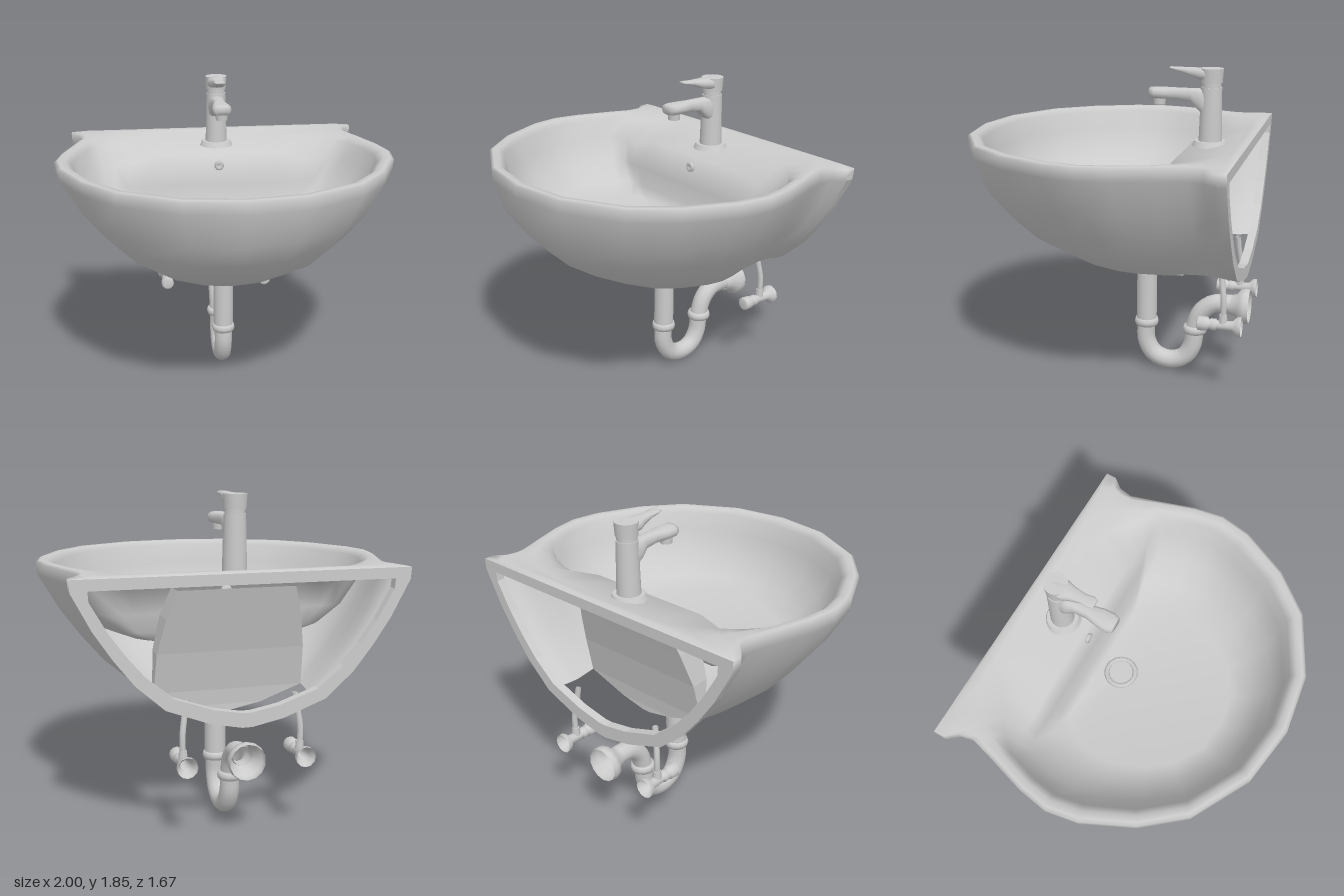
import * as THREE from 'three';

const grey = new THREE.MeshStandardMaterial({ color: 0xcccccc, side: THREE.DoubleSide });
const flat = new THREE.MeshStandardMaterial({ color: 0xcccccc, side: THREE.DoubleSide, flatShading: true });
const V = (x, y, z) => new THREE.Vector3(x, y, z);

// Skin a stack of closed rings of equal length; skip(row, column) leaves openings
function loft(rings, skip = () => false) {
  const n = rings[0].length, index = [];
  for (let i = 0; i < rings.length - 1; i++) {
    for (let j = 0; j < n; j++) {
      if (skip(i, j)) continue;
      const k = (j + 1) % n, a = i * n + j, b = i * n + k, c = b + n, d = a + n;
      index.push(a, b, c, a, c, d);
    }
  }
  const g = new THREE.BufferGeometry().setFromPoints(rings.flat());
  g.setIndex(index);
  g.computeVertexNormals();
  return g;
}

function add(parent, name, geometry, x = 0, y = 0, z = 0, material = grey) {
  const m = new THREE.Mesh(geometry, material);
  m.name = name;
  m.position.set(x, y, z);
  parent.add(m);
  return m;
}

const cyl = (rTop, rBottom, h, sides = 14) => new THREE.CylinderGeometry(rTop, rBottom, h, sides);
// Lathe whose axis points towards the front; profile pairs are [radius, z]
const latheZ = (profile, sides = 12) =>
  new THREE.LatheGeometry(profile.map(([r, z]) => new THREE.Vector2(r, z)), sides).rotateX(Math.PI / 2);
const pipe = (pts, r, steps, sides = 10) =>
  new THREE.TubeGeometry(new THREE.CatmullRomCurve3(pts.map(p => V(...p)), false, 'centripetal'), steps, r, sides);

// Half plans, front to back: outer edge of the rim, and inner edge around bowl and tap deck
const OUTER = [[0, .83], [.33, .78], [.66, .6], [.84, .38], [.97, .1], [1, -.08], [.97, -.25],
  [.9, -.47], [.855, -.62], [.87, -.7], [.92, -.76], [.92, -.82], [.45, -.82], [0, -.82]];
const INNER = [[0, .74], [.3, .7], [.59, .54], [.76, .33], [.87, .08], [.9, -.08], [.88, -.22],
  [.82, -.4], [.75, -.48], [.67, -.55], [.57, -.62], [.4, -.71], [.2, -.72], [0, -.73]];
const mirrored = half => [...half, ...half.slice(1, -1).reverse().map(([x, z]) => [-x, z])];

// Shell levels: height, width factor, front reach
const LEVELS = [[.645, .03, -.45], [.68, .22, -.05], [.77, .48, .24], [.91, .65, .5],
  [1.05, .77, .65], [1.2, .88, .77], [1.4, .995, .828], [1.465, 1, .83]];

function basinGeometry() {
  const outer = mirrored(OUTER), inner = mirrored(INNER);
  // outer shell, narrowing downwards
  const rings = LEVELS.map(([y, k, front]) => outer.map(([x, z]) =>
    V(x * k, y, z < -.47 ? z : -.47 + (z + .47) * (front + .47) / 1.3)));
  // rounded rim
  for (const [t, y] of [[.2, 1.476], [.6, 1.474], [1, 1.445]])
    rings.push(outer.map(([x, z], j) => V(x + (inner[j][0] - x) * t, y, z + (inner[j][1] - z) * t)));
  // front edge of the tap deck, higher in the middle than at the sides
  rings.push(inner.map(([x, z]) =>
    V(x * .97, z < -.45 && Math.abs(x) < .45 ? 1.385 : 1.335, Math.max(z * .97, -.43))));
  // bowl wall and shallow floor: height, x scale, z scale, rear limit
  for (const [y, sx, sz, back] of [[1.2, .87, .9, -.4], [1.09, .73, .77, -.375], [1.035, .58, .62, -.34]])
    rings.push(inner.map(([x, z]) => V(x * sx, y, Math.max(z * sz, back))));
  // drain opening
  rings.push(rings.at(-1).map(p => {
    const d = V(p.x, 0, p.z + .21).setLength(.08);
    return V(d.x, 1.02, d.z - .21);
  }));
  // open back, and a gap underneath for the plumbing
  return loft(rings, (i, j) => i < 7 &&
    ((j >= 11 && j <= 14) || (i < 2 && ((j >= 7 && j <= 9) || (j >= 16 && j <= 18)))));
}

// D-shaped flange against the wall
function wallFlangeGeometry() {
  const outline = (sx, yMap) => {
    const right = LEVELS.map(([y, k]) => new THREE.Vector2(.92 * k * sx, yMap(y)));
    return [...right, ...right.slice().reverse().map(p => new THREE.Vector2(-p.x, p.y))];
  };
  const shape = new THREE.Shape(outline(1, y => y));
  shape.holes.push(new THREE.Path(outline(.9, y => .725 + (y - .645) * .83)));
  return new THREE.ExtrudeGeometry(shape, { depth: .05, bevelEnabled: false });
}

// Panel closing the shell behind the bowl; rows are [half width, y, rear z, front z]
function backPanelGeometry() {
  const rows = [[.027, .645, -.47, -.46], [.195, .68, -.47, -.46], [.43, .77, -.48, -.45],
    [.42, 1, -.53, -.42], [.38, 1.2, -.59, -.43], [.33, 1.36, -.64, -.5]];
  return loft(rows.map(([w, y, zb, zf]) => [V(w, y, zf), V(w, y, zb), V(-w, y, zb), V(-w, y, zf)]),
    (i, j) => j === 3);
}

// Rounded bar along z; stations are [z, half width, bottom, top]
function bar(stations, sides = 12) {
  const sq = v => Math.sign(v) * Math.abs(v) ** .7;
  const ring = ([z, w, lo, hi], s = 1) => Array.from({ length: sides }, (_, j) => {
    const a = j / sides * Math.PI * 2;
    return V(sq(Math.cos(a)) * w * s, (lo + hi) / 2 + sq(Math.sin(a)) * (hi - lo) / 2 * s, z);
  });
  return loft([ring(stations[0], 0), ...stations.map(s => ring(s)), ring(stations.at(-1), 0)]);
}

export function createModel() {
  const model = new THREE.Group();
  model.name = 'washbasin';

  // Ceramic
  add(model, 'basin', basinGeometry());
  add(model, 'wallFlange', wallFlangeGeometry(), 0, 0, -.82, flat);
  add(model, 'backPanel', backPanelGeometry(), 0, 0, 0, flat);

  // Drain and overflow
  add(model, 'drainRing', new THREE.TorusGeometry(.085, .016, 6, 14).rotateX(Math.PI / 2), 0, 1.04, -.21);
  add(model, 'drainPlug', cyl(.07, .08, .03), 0, 1.03, -.21);
  add(model, 'overflow', latheZ([[0, -.02], [.03, -.02], [.03, .015], [.018, .02], [0, .01]], 10), 0, 1.32, -.42);

  // Tap
  const tap = new THREE.Group();
  tap.name = 'tap';
  model.add(tap);
  add(tap, 'tapBase', cyl(.09, .105, .03, 16), 0, 1.43, -.575);
  add(tap, 'tapBody', cyl(.06, .068, .33, 16), 0, 1.585, -.575);
  add(tap, 'tapNeck', cyl(.055, .055, .04, 16), 0, 1.76, -.575);
  add(tap, 'tapHead', cyl(.067, .062, .08, 16), 0, 1.815, -.575);
  add(tap, 'spout', bar([[-.58, .055, 1.56, 1.74], [-.5, .05, 1.62, 1.74], [-.46, .04, 1.665, 1.74],
    [-.38, .038, 1.675, 1.74], [-.31, .055, 1.675, 1.74], [-.25, .058, 1.675, 1.74], [-.22, .045, 1.68, 1.738]]));
  add(tap, 'aerator', cyl(.038, .035, .045, 12), 0, 1.665, -.275);
  add(tap, 'lever', bar([[-.6, .06, 1.785, 1.855], [-.52, .058, 1.79, 1.857], [-.48, .042, 1.8, 1.857],
    [-.41, .03, 1.825, 1.857], [-.36, .036, 1.842, 1.857], [-.335, .026, 1.845, 1.857]]));

  // Waste pipe
  const waste = new THREE.Group();
  waste.name = 'wastePipe';
  model.add(waste);
  add(waste, 'drainCollar', cyl(.105, .085, .03), 0, .665, -.21);
  add(waste, 'tailPipe', cyl(.062, .062, .38), 0, .49, -.213);
  add(waste, 'trap', pipe([[0, .32, -.213], [0, .18, -.213], [0, .09, -.265], [0, .06, -.36], [0, .09, -.45],
    [0, .17, -.5], [0, .29, -.515], [0, .39, -.55], [0, .45, -.62], [0, .46, -.68], [0, .46, -.74]], .056, 30, 12));
  for (const [y, z] of [[.3, -.213], [.28, -.515]])
    add(waste, 'jointRing', new THREE.LatheGeometry([[.05, -.025], [.068, -.022], [.074, 0], [.068, .022], [.05, .025]]
      .map(p => new THREE.Vector2(...p)), 14), 0, y, z);
  add(waste, 'wallCup', latheZ([[.1, -.84], [.106, -.815], [.1, -.785], [.07, -.765], [.057, -.72]], 14), 0, .455, 0);

  // Supply valves and hoses, one per side
  for (const s of [-1, 1]) {
    const valve = new THREE.Group();
    valve.name = s > 0 ? 'leftValve' : 'rightValve';
    model.add(valve);
    add(valve, 'valveBody', latheZ([[.057, -.84], [.057, -.815], [.03, -.79], [.026, -.7], [.034, -.695],
      [.034, -.665], [.026, -.66], [.04, -.645], [.042, -.595], [.03, -.588], [0, -.588]]), s * .33, .455, 0);
    add(valve, 'hoseNut', cyl(.022, .026, .05, 8), s * .33, .495, -.735);
    add(valve, 'hose', pipe([[s * .33, .48, -.735], [s * .332, .6, -.735], [s * .315, .72, -.72],
      [s * .305, .79, -.715]], .017, 10, 8));
  }
  return model;
}
